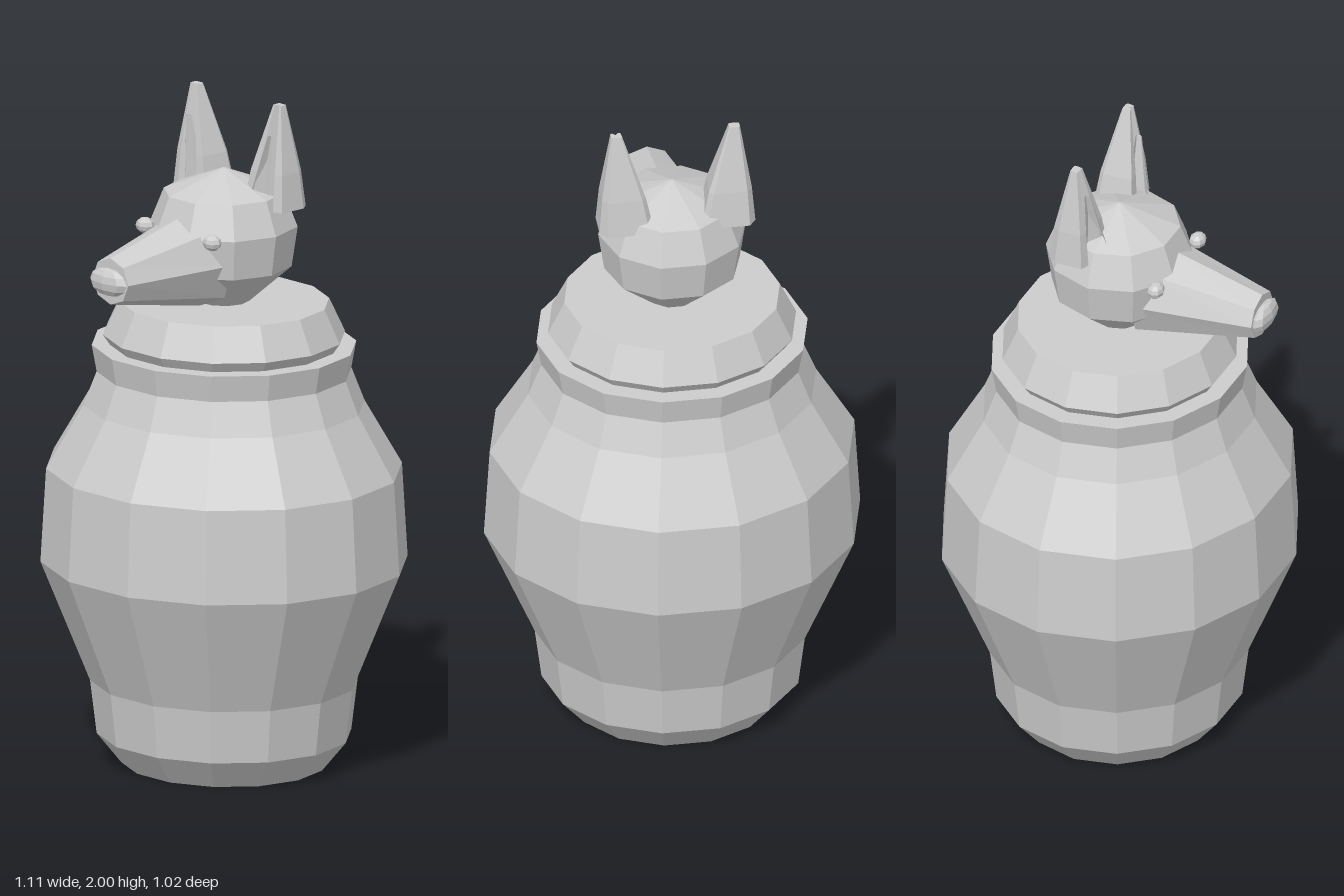
import * as THREE from 'three';

const stone = new THREE.MeshStandardMaterial({ color: 0xcccccc, flatShading: true });
stone.name = 'pale stone';

// Faceted solid through matching loops of points, capped at both ends
function loft(rings) {
  const pos = [];
  const tri = (...pts) => pts.forEach(p => pos.push(p.x, p.y, p.z));
  const n = rings[0].length;
  for (let r = 0; r < rings.length - 1; r++) {
    for (let i = 0; i < n; i++) {
      const j = (i + 1) % n, lo = rings[r], hi = rings[r + 1];
      tri(lo[i], lo[j], hi[j]);
      tri(lo[i], hi[j], hi[i]);
    }
  }
  const first = rings[0], last = rings[rings.length - 1];
  for (let i = 1; i < n - 1; i++) {
    tri(first[0], first[i + 1], first[i]);
    tri(last[0], last[i], last[i + 1]);
  }
  const g = new THREE.BufferGeometry();
  g.setAttribute('position', new THREE.Float32BufferAttribute(pos, 3));
  g.computeVertexNormals();
  return g;
}

// Turned profile of [radius, height] pairs, with a corner on the x axis
function turned(profile, sides, zScale = 1) {
  const pts = profile.map(([r, y]) => new THREE.Vector2(r, y));
  const g = new THREE.LatheGeometry(pts, sides, Math.PI / 2);
  return g.scale(1, 1, zScale);
}

// One ear; side is +1 (left) or -1 (right)
function ear(side) {
  // footprint with a notch in the open front
  const base = [[0.155, -0.05], [0.2, -0.005], [0.228, -0.015], [0.23, -0.1], [0.21, -0.128],
    [0.085, -0.128], [0.07, -0.11], [0.08, 0], [0.115, 0]];
  const levels = [[1.69, 1, 0.15], [1.8, 0.8, 0.157], [2, 0.2, 0.174]];
  return loft(levels.map(([y, s, cx]) => {
    const ring = base.map(([x, z]) => new THREE.Vector3(
      side * (cx + (x - 0.15) * s), y, -0.056 + (z + 0.056) * s));
    return side > 0 ? ring : ring.reverse();
  }));
}

// Slender fold standing in the ear opening
function earFold(side) {
  const ring = (x, y, z, rx, rz) => Array.from({ length: 5 }, (_, i) => {
    const a = i / 5 * Math.PI * 2;
    return new THREE.Vector3(side * x + rx * Math.sin(-a), y, z + rz * Math.cos(a));
  }).reverse();
  return loft([ring(0.13, 1.69, -0.005, 0.03, 0.038), ring(0.171, 1.91, -0.022, 0.007, 0.01)]
    .map(r => r.reverse()));
}

// Eight-sided muzzle section
function muzzleRing(y, z, rx, ry) {
  return Array.from({ length: 8 }, (_, i) => {
    const a = i / 8 * Math.PI * 2;
    return new THREE.Vector3(rx * Math.cos(a), y + ry * Math.sin(a), z);
  });
}

export function createModel() {
  const model = new THREE.Group();
  model.name = 'animalHeadJar';
  const add = (name, geometry, parent = model) => {
    const mesh = new THREE.Mesh(geometry, stone);
    mesh.name = name;
    parent.add(mesh);
    return mesh;
  };

  // Jar body with a flared rim
  add('jarBody', turned([[0, 0], [0.31, 0], [0.385, 0.09], [0.405, 0.25], [0.555, 0.61],
    [0.538, 0.89], [0.425, 1.08], [0.385, 1.18], [0.4, 1.26], [0, 1.26]], 14, 0.943));

  // Lid with an undercut lower edge
  add('lid', turned([[0.335, 1.25], [0.345, 1.26], [0.366, 1.29], [0.318, 1.39], [0, 1.39]], 14, 0.943));

  const head = new THREE.Group();
  head.name = 'head';
  model.add(head);

  add('skull', turned([[0, 1.385], [0.075, 1.39], [0.2, 1.5], [0.218, 1.62], [0.178, 1.72],
    [0, 1.79]], 10), head);

  add('muzzle', loft([muzzleRing(1.54, 0.1, 0.148, 0.15), muzzleRing(1.53, 0.46, 0.075, 0.07)]), head);

  add('nose', new THREE.SphereGeometry(1, 8, 6).scale(0.076, 0.042, 0.027), head)
    .position.set(0, 1.53, 0.468);

  for (const side of [1, -1]) {
    const label = side > 0 ? 'left' : 'right';
    add(label + 'Eye', new THREE.SphereGeometry(1, 8, 6).scale(0.031, 0.024, 0.025), head)
      .position.set(side * 0.14, 1.622, 0.184);
    add(label + 'Ear', ear(side), head);
    add(label + 'EarFold', earFold(side), head);
  }
  return model;
}
